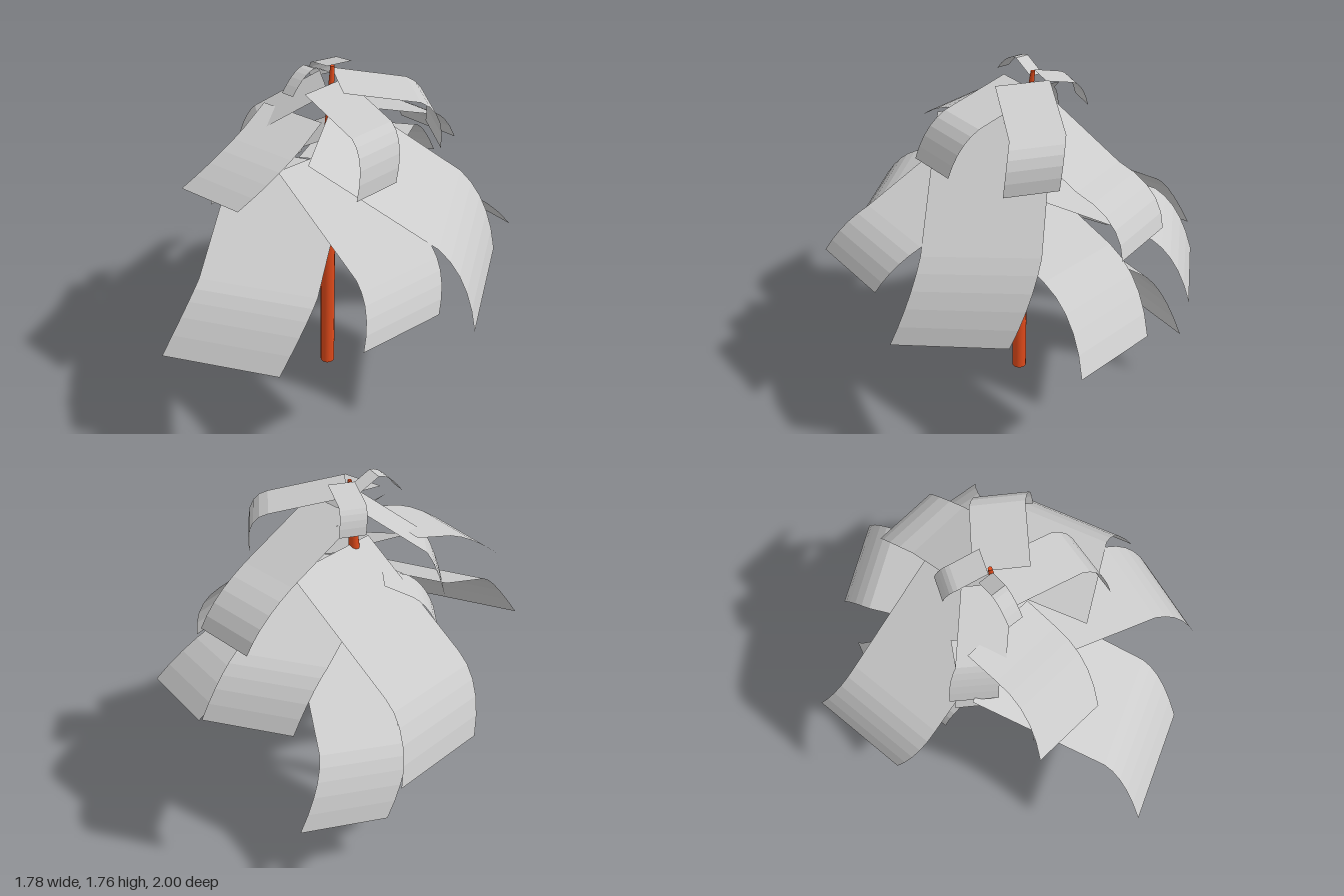
import * as THREE from 'three';

const leafMat = new THREE.MeshStandardMaterial({ color: 0xcccccc, flatShading: true, side: THREE.DoubleSide });
const trunkMat = new THREE.MeshStandardMaterial({ color: 0xe04a1a });

// Indexed grid surface from a list of equally long rows of points
function gridGeometry(rows) {
  const n = rows[0].length, index = [];
  for (let i = 0; i < rows.length - 1; i++) {
    for (let j = 0; j < n - 1; j++) {
      const a = i * n + j, b = a + n;
      index.push(a, b, a + 1, b, b + 1, a + 1);
    }
  }
  const geo = new THREE.BufferGeometry().setFromPoints(rows.flat());
  geo.setIndex(index);
  geo.computeVertexNormals();
  return geo;
}

// Frond: a straight sheet from base to bend, then a faceted curl to the tip.
// The points follow one long edge; across reaches to the other edge.
function frond({ base, bend, ctrl, tip, across }) {
  const v = (p) => new THREE.Vector3(...p);
  const curl = new THREE.QuadraticBezierCurve3(v(bend), v(ctrl), v(tip));
  const edge = [v(base), ...curl.getPoints(5)];
  return new THREE.Mesh(gridGeometry(edge.map((p) => [p, p.clone().add(v(across))])), leafMat);
}

// Trunk: rings of [x, y, z, radius], leaning and thinning towards the top.
// Doubled rings keep the rims of the end caps sharp.
function trunk() {
  const sides = 16;
  const rings = [
    [-0.012, 0, -0.06, 0.0001], [-0.012, 0, -0.06, 0.036],
    [-0.012, 0, -0.06, 0.036], [-0.012, 1.05, -0.06, 0.036],
    [-0.012, 1.25, -0.062, 0.035], [-0.03, 1.5, -0.085, 0.019],
    [-0.04, 1.74, -0.11, 0.01], [-0.04, 1.74, -0.11, 0.01],
    [-0.04, 1.74, -0.11, 0.0001],
  ];
  const rows = rings.map(([x, y, z, r]) => Array.from({ length: sides + 1 }, (_, i) => {
    const a = (i / sides) * Math.PI * 2;
    return new THREE.Vector3(x + r * Math.cos(a), y, z + r * Math.sin(a));
  }));
  const mesh = new THREE.Mesh(gridGeometry(rows), trunkMat);
  mesh.name = 'trunk';
  return mesh;
}

const fronds = {
  // Crown
  crownFrontFrond: { base: [-0.11, 1.7, -0.1], bend: [-0.115, 1.755, 0], ctrl: [-0.115, 1.755, 0.06], tip: [-0.12, 1.655, 0.13], across: [0.075, 0.01, 0] },
  crownRightFrond: { base: [-0.06, 1.735, -0.095], bend: [-0.2, 1.69, -0.13], ctrl: [-0.25, 1.67, -0.15], tip: [-0.26, 1.57, -0.17], across: [0.04, 0, -0.12] },
  // Upper tier
  upperBackLeftFrond: { base: [-0.1, 1.69, -0.16], bend: [0.1, 1.61, -0.46], ctrl: [0.19, 1.57, -0.54], tip: [0.19, 1.385, -0.515], across: [0.22, 0, 0.13] },
  upperLeftFrond: { base: [-0.03, 1.66, 0.07], bend: [0.31, 1.59, 0.1], ctrl: [0.42, 1.54, 0.12], tip: [0.43, 1.35, 0.18], across: [0.01, 0, -0.24] },
  upperRightFrond: { base: [-0.17, 1.65, -0.15], bend: [-0.38, 1.46, 0.08], ctrl: [-0.44, 1.4, 0.1], tip: [-0.46, 1.25, 0.13], across: [0.19, 0, 0.12] },
  upperFrontFrond: { base: [-0.31, 1.505, 0.08], bend: [-0.27, 1.45, 0.24], ctrl: [-0.22, 1.4, 0.43], tip: [-0.3, 1.255, 0.6], across: [0.36, 0.03, -0.04] },
  upperBackFrond: { base: [-0.13, 1.59, -0.12], bend: [-0.19, 1.38, -0.52], ctrl: [-0.26, 1.3, -0.73], tip: [-0.217, 1.13, -0.78], across: [0.33, 0, -0.05] },
  // Middle tier
  middleBackLeftFrond: { base: [-0.09, 1.56, -0.2], bend: [0.37, 1.15, -0.59], ctrl: [0.5, 1.02, -0.67], tip: [0.595, 0.785, -0.62], across: [0.3, -0.085, 0.47] },
  middleLeftFrond: { base: [0, 1.345, 0.27], bend: [0.6, 1.09, 0.34], ctrl: [0.74, 1.03, 0.38], tip: [0.78, 0.86, 0.465], across: [0.045, 0, -0.435] },
  middleFrontFrond: { base: [-0.38, 1.265, 0.2], bend: [-0.02, 0.96, 0.74], ctrl: [0.03, 0.91, 0.84], tip: [0.01, 0.665, 1.0], across: [0.477, 0, -0.3] },
  middleRightFrond: { base: [-0.11, 1.395, -0.475], bend: [-0.68, 1.0, -0.36], ctrl: [-0.82, 0.9, -0.33], tip: [-0.89, 0.67, -0.42], across: [0.115, 0.01, 0.5] },
  middleBackRightFrond: { base: [-0.09, 1.29, 0.06], bend: [-0.47, 1.11, -0.52], ctrl: [-0.52, 1.05, -0.64], tip: [-0.51, 0.85, -0.73], across: [0.34, 0, -0.27] },
  middleFrontRightFrond: { base: [-0.29, 1.3, -0.09], bend: [-0.35, 1.23, 0.03], ctrl: [-0.4, 1.19, 0.09], tip: [-0.43, 1.07, 0.12], across: [0.18, 0, 0.11] },
  // Lower tier
  lowerBackFrond: { base: [0.34, 1.145, -0.1], bend: [0.345, 1.0, -0.58], ctrl: [0.35, 0.93, -0.79], tip: [0.45, 0.71, -0.925], across: [-0.435, 0, 0] },
  lowerFrontFrond: { base: [-0.2, 0.97, -0.02], bend: [-0.14, 0.85, 0.18], ctrl: [-0.1, 0.79, 0.36], tip: [-0.146, 0.58, 0.36], across: [0.235, 0.03, -0.04] },
  lowerRightFrond: { base: [-0.08, 1.05, -0.16], bend: [-0.41, 0.91, -0.16], ctrl: [-0.52, 0.85, -0.16], tip: [-0.53, 0.7, -0.18], across: [0.065, -0.01, 0.24] },
  lowerBackRightFrond: { base: [-0.1, 0.91, 0.03], bend: [-0.52, 0.57, -0.12], ctrl: [-0.61, 0.47, -0.17], tip: [-0.61, 0.255, -0.29], across: [0.095, 0.045, -0.425] },
};

export function createModel() {
  const model = new THREE.Group();
  model.name = 'palmTree';
  model.add(trunk());
  for (const [name, spec] of Object.entries(fronds)) {
    const mesh = frond(spec);
    mesh.name = name;
    model.add(mesh);
  }
  return model;
}
